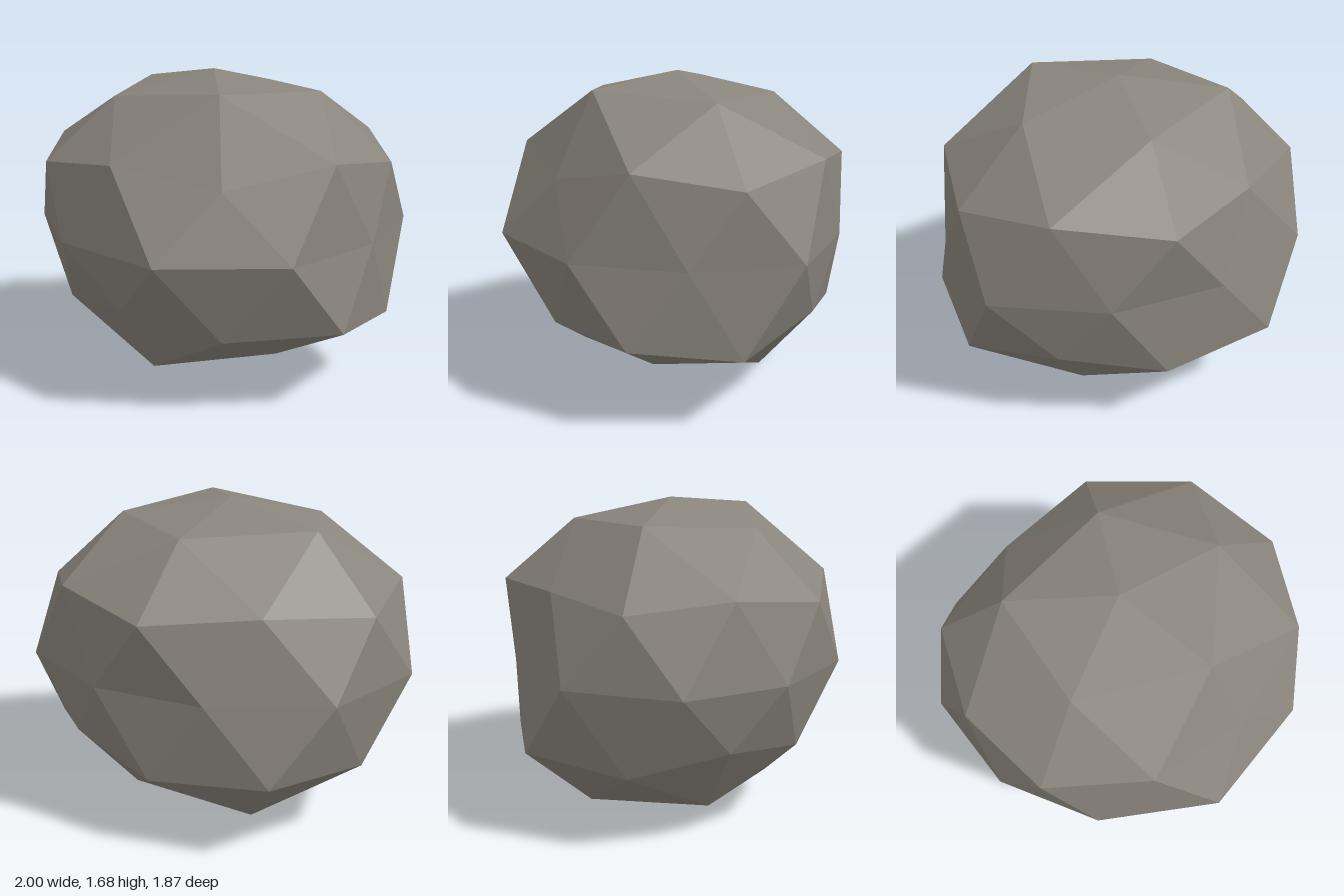
import * as THREE from 'three';

// A faceted boulder: a once-divided icosahedron, squashed, each corner pushed in or out.
const CENTRE = new THREE.Vector3(-0.02, 0.86, -0.048);
const SQUASH = new THREE.Vector3(1, 0.763, 0.892);

// Corner at a unit height and turn (degrees from +x towards +z), pushed out by a factor
function corner(height, degrees, push) {
  const a = THREE.MathUtils.degToRad(degrees);
  const r = Math.sqrt(1 - height * height);
  return new THREE.Vector3(r * Math.cos(a), height, r * Math.sin(a))
    .multiplyScalar(push).multiply(SQUASH).add(CENTRE);
}

// Ring of evenly spaced corners; heights alternate when two are given
function ring(heights, start, pushes) {
  return pushes.map((p, i) =>
    corner(heights[i % heights.length], start + (i * 360) / pushes.length, p));
}

function boulderGeometry() {
  const top = corner(1, 0, 1.075);
  const crown = ring([0.8507], 0, [1.115, 1.17, 1.07, 1.125, 1.09]);
  const upper = ring([0.4472, 0.5257], 0,
    [1.085, 1.12, 0.98, 1.08, 1.065, 1.065, 1.08, 1.0, 1.115, 1.125]);
  const middle = ring([0], 18,
    [0.98, 1.07, 1.1, 1.0, 0.967, 1.03, 1.06, 0.965, 0.98, 1.073]);
  const lower = ring([-0.5257, -0.4472], 0,
    [1.16, 1.168, 1.065, 0.975, 0.99, 0.965, 1.09, 1.175, 1.11, 1.027]);
  const base = ring([-0.8507], 36, [1.03, 1.125, 1.1, 1.17, 1.12]);
  const bottom = corner(-1, 0, 1.127);

  const points = [];
  const face = (a, b, c) => points.push(a, b, c);

  // Top and bottom caps
  for (let k = 0; k < 5; k++) {
    const n = (k + 1) % 5;
    const j0 = 2 * k, j1 = j0 + 1, j2 = (j0 + 2) % 10;
    face(top, crown[n], crown[k]);
    face(crown[k], upper[j1], upper[j0]);
    face(crown[k], crown[n], upper[j1]);
    face(crown[n], upper[j2], upper[j1]);
    face(bottom, base[k], base[n]);
    face(base[k], lower[j0], lower[j1]);
    face(base[k], lower[j1], lower[j2]);
    face(base[k], lower[j2], base[n]);
  }
  // Two zigzag bands around the middle
  for (let j = 0; j < 10; j++) {
    const n = (j + 1) % 10, p = (j + 9) % 10;
    face(upper[j], upper[n], middle[j]);
    face(upper[j], middle[j], middle[p]);
    face(lower[j], middle[p], middle[j]);
    face(lower[j], middle[j], lower[n]);
  }

  const geometry = new THREE.BufferGeometry().setFromPoints(points);
  geometry.computeVertexNormals();
  return geometry;
}

export function createModel() {
  const stone = new THREE.MeshStandardMaterial({ color: 0x8a857c });
  stone.name = 'warmGreyStone';
  stone.flatShading = true;

  const boulder = new THREE.Mesh(boulderGeometry(), stone);
  boulder.name = 'boulder';

  const group = new THREE.Group();
  group.name = 'rock';
  group.add(boulder);
  return group;
}
